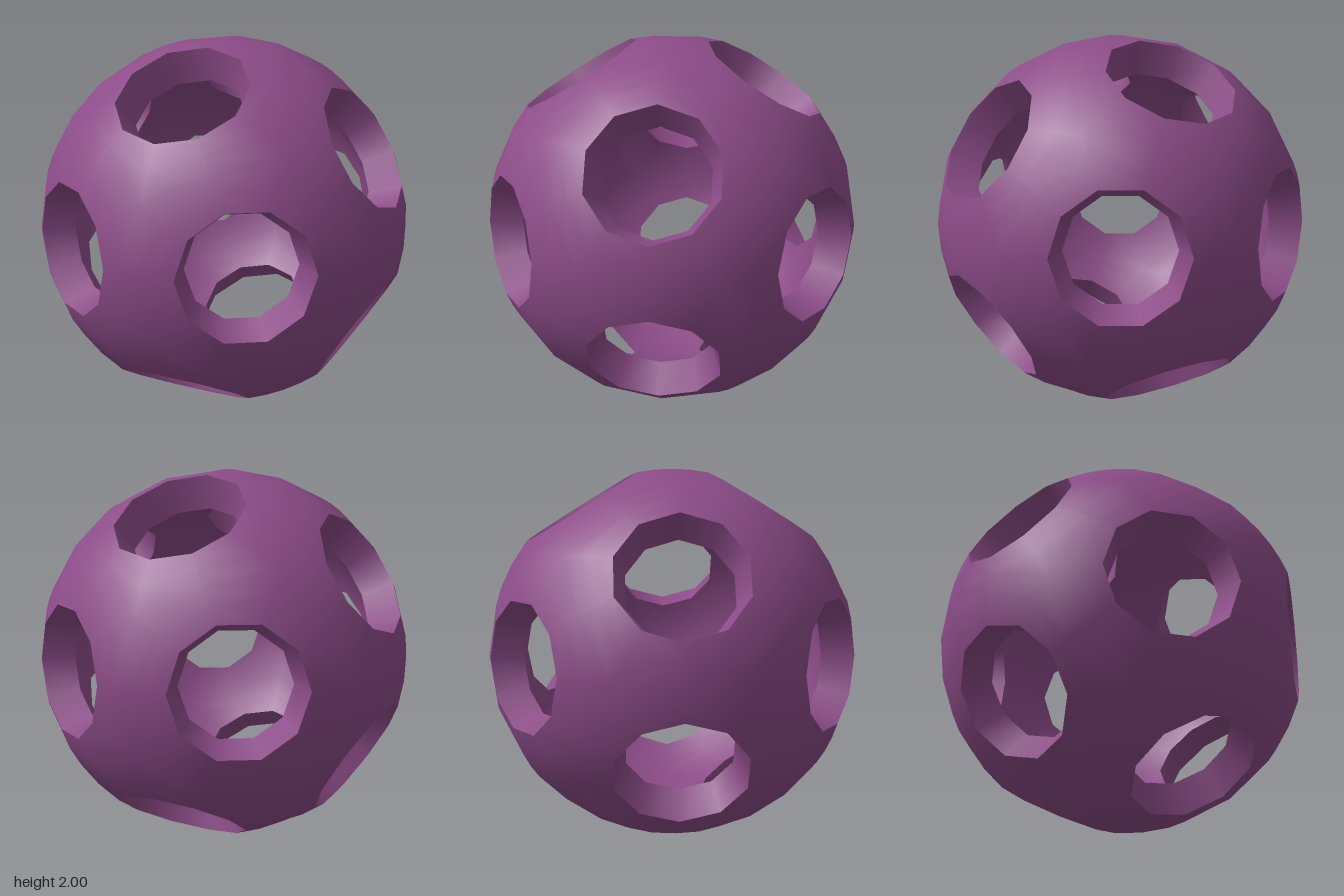
import * as THREE from 'three';

const INNER = 0.82;                    // inner radius relative to the outer radius of 1
const HOLE = Math.asin(0.351);         // angular radius of each ten-sided hole
const STEPS = 2;                       // rows between a hole rim and the middle of a patch

// Point on the unit sphere, the given angle away from a towards b
function towards(a, b, angle) {
  const side = b.clone().addScaledVector(a, -a.dot(b)).normalize();
  return a.clone().multiplyScalar(Math.cos(angle)).addScaledVector(side, Math.sin(angle));
}

// Collects quads with smooth normals
class Surface {
  constructor() { this.positions = []; this.normals = []; }
  quad(points, normals) {
    for (const i of [0, 1, 2, 0, 2, 3]) {
      this.positions.push(...points[i].toArray());
      this.normals.push(...normals[i].toArray());
    }
  }
  mesh(name, material) {
    const geometry = new THREE.BufferGeometry();
    geometry.setAttribute('position', new THREE.Float32BufferAttribute(this.positions, 3));
    geometry.setAttribute('normal', new THREE.Float32BufferAttribute(this.normals, 3));
    const mesh = new THREE.Mesh(geometry, material);
    mesh.name = name;
    return mesh;
  }
}

export function createModel() {
  const purple = new THREE.MeshStandardMaterial({ color: 0x8c4c88 });
  purple.name = 'purple';

  const outer = new Surface(), inner = new Surface(), walls = new Surface();
  const shrink = (p) => p.clone().multiplyScalar(INNER);

  // One wedge of the shell: from the rim of the hole around v out to the arc p-q
  function wedge(v, p, q) {
    const rows = [];
    for (let j = 0; j <= STEPS; j++) {
      rows.push([p, q].map((end) => {
        const reach = v.angleTo(end);
        return towards(v, end, HOLE + (reach - HOLE) * j / STEPS);
      }));
    }
    for (let j = 0; j < STEPS; j++) {
      const corners = [rows[j][0], rows[j + 1][0], rows[j + 1][1], rows[j][1]];
      outer.quad(corners, corners);
      const back = corners.slice().reverse();
      inner.quad(back.map(shrink), back.map((c) => c.clone().negate()));
    }
    // Radial wall of the hole, facing its axis
    const [a, b] = rows[0];
    const facing = (c) => v.clone().addScaledVector(c, -v.dot(c)).normalize();
    const na = facing(a), nb = facing(b);
    walls.quad([a, b, shrink(b), shrink(a)], [na, nb, nb, na]);
  }

  // Holes sit on the twelve corners of an icosahedron
  const frame = new THREE.IcosahedronGeometry(1, 0).rotateY(Math.PI / 2).getAttribute('position');
  for (let f = 0; f < frame.count; f += 3) {
    const tri = [0, 1, 2].map((i) => new THREE.Vector3().fromBufferAttribute(frame, f + i).normalize());
    const centre = tri[0].clone().add(tri[1]).add(tri[2]).normalize();
    for (let i = 0; i < 3; i++) {
      const v = tri[i];
      const midNext = v.clone().add(tri[(i + 1) % 3]).normalize();
      const midPrev = v.clone().add(tri[(i + 2) % 3]).normalize();
      wedge(v, midNext, centre);
      wedge(v, centre, midPrev);
    }
  }

  const ball = new THREE.Group();
  ball.name = 'perforatedBall';
  ball.add(outer.mesh('outerShell', purple), inner.mesh('innerShell', purple), walls.mesh('holeWalls', purple));
  ball.position.y = 1;

  const model = new THREE.Group();
  model.name = 'model';
  model.add(ball);
  return model;
}
